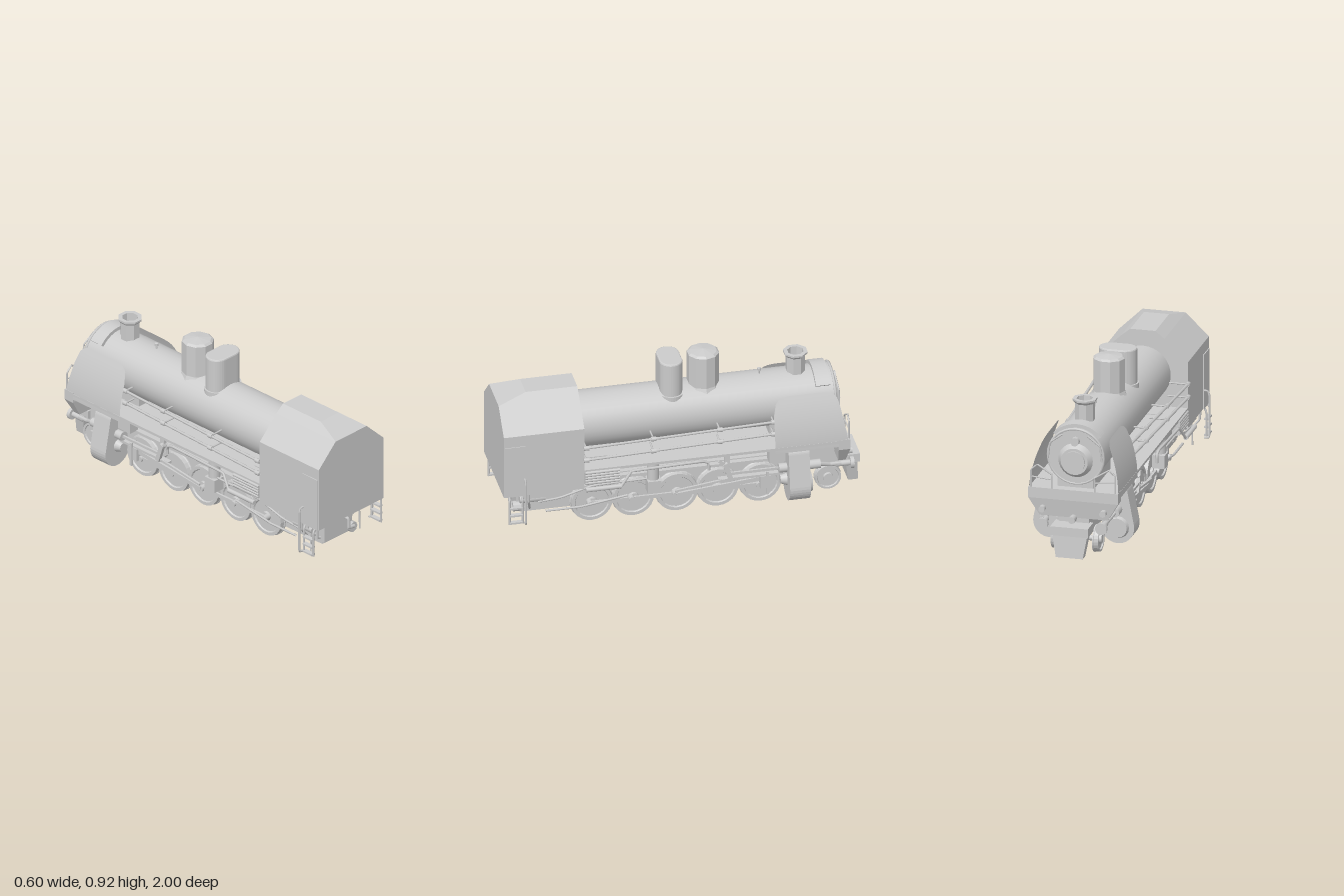
import * as THREE from 'three';
import { ConvexGeometry } from 'three/addons/geometries/ConvexGeometry.js';

const V = (x, y, z) => new THREE.Vector3(x, y, z);
const flat = new THREE.MeshStandardMaterial({ color: 0xcccccc, flatShading: true, side: THREE.DoubleSide });
const smooth = new THREE.MeshStandardMaterial({ color: 0xcccccc, side: THREE.DoubleSide });

export function createModel() {
  const model = new THREE.Group();
  const add = (name, geo, mat = flat, parent = model) => {
    const m = new THREE.Mesh(geo, mat);
    m.name = name;
    parent.add(m);
    return m;
  };
  // Box given by its limits on each axis
  const box = (name, x0, x1, y0, y1, z0, z1) =>
    add(name, new THREE.BoxGeometry(x1 - x0, y1 - y0, z1 - z0).translate((x0 + x1) / 2, (y0 + y1) / 2, (z0 + z1) / 2));
  const cylZ = (name, r0, r1, x, y, z0, z1, n = 16, mat = smooth) =>
    add(name, new THREE.CylinderGeometry(r1, r0, z1 - z0, n).rotateX(Math.PI / 2).translate(x, y, (z0 + z1) / 2), mat);
  const cylX = (name, r, x0, x1, y, z, n = 16) =>
    add(name, new THREE.CylinderGeometry(r, r, Math.abs(x1 - x0), n).rotateZ(Math.PI / 2).translate((x0 + x1) / 2, y, z), smooth);
  // Pipe through corner points
  const pipe = (name, r, pts) => {
    const path = new THREE.CurvePath();
    pts.slice(1).forEach((p, i) => path.add(new THREE.LineCurve3(V(...pts[i]), V(...p))));
    return add(name, new THREE.TubeGeometry(path, (pts.length - 1) * 6, r, 6), smooth);
  };
  // Flat bar in the side plane between two (z, y) points
  const bar = (name, x, z0, y0, z1, y1, h = 0.022, w = 0.012) => {
    const len = Math.hypot(z1 - z0, y1 - y0);
    const m = add(name, new THREE.BoxGeometry(w, h, len));
    m.position.set(x, (y0 + y1) / 2, (z0 + z1) / 2);
    m.rotation.x = -Math.atan2(y1 - y0, z1 - z0);
  };
  const hull = (name, pts) => {
    const all = [];
    for (const [x, y, z] of pts) all.push(V(x, y, z), V(-x, y, z));
    return add(name, new ConvexGeometry(all));
  };

  // Cab with sloped roof
  hull('cab', [
    [0.25, 0.28, 1], [0.25, 0.655, 1], [0.12, 0.78, 1],
    [0.25, 0.28, 0.555], [0.25, 0.655, 0.555], [0.12, 0.78, 0.555],
    [0.07, 0.82, 0.555], [0.07, 0.82, 0.84], [0.12, 0.78, 0.89],
  ]);

  // Boiler and smokebox front
  const boilerY = 0.575, boilerR = 0.155;
  cylZ('boiler', boilerR, boilerR, 0, boilerY, -0.86, 0.57, 32);
  cylZ('smokeboxDoor', 0.075, 0.1, 0, 0.555, -0.89, -0.855, 24);
  cylZ('doorPlate', 0.06, 0.06, 0, 0.555, -0.9, -0.885, 24);
  cylZ('headlamp', 0.024, 0.024, 0, 0.665, -0.885, -0.85, 12);
  const ring = add('smokeboxRim', new THREE.TorusGeometry(boilerR, 0.008, 6, 32), smooth);
  ring.position.set(0, boilerY, -0.855);
  box('smokeboxSaddle', -0.1, 0.1, 0.25, 0.47, -0.86, -0.5);
  box('fireboxBase', -0.13, 0.13, 0.25, 0.4, 0.4, 0.72);

  // Saddle heater over the smokebox
  const arc = new THREE.Shape();
  arc.absarc(0, 0, 0.175, 0.7, Math.PI - 0.7, false);
  arc.absarc(0, 0, 0.14, Math.PI - 0.7, 0.7, true);
  add('heater', new THREE.ExtrudeGeometry(arc, { depth: 0.08, bevelEnabled: false, curveSegments: 16 })
    .translate(0, boilerY, -0.83));

  // Chimney and domes
  const lathe = (name, pts, y, z, n = 8) => {
    const m = add(name, new THREE.LatheGeometry(pts.map(p => new THREE.Vector2(...p)), n));
    m.position.set(0, y, z);
    m.rotation.y = Math.PI / n;
    return m;
  };
  lathe('chimney', [[0.068, 0], [0.054, 0.025], [0.054, 0.125], [0.068, 0.14], [0.068, 0.15], [0.045, 0.15], [0.04, 0.06], [0, 0.06]], 0.695, -0.665);
  lathe('roundDome', [[0.1, 0], [0.088, 0.03], [0.088, 0.215], [0.075, 0.225], [0, 0.235]], 0.69, -0.155, 10);
  const oval = (a, r) => {
    const s = new THREE.Shape();
    s.absarc(a, 0, r, -Math.PI / 2, Math.PI / 2, false);
    s.absarc(-a, 0, r, Math.PI / 2, Math.PI * 1.5, false);
    return s;
  };
  add('longDome', new THREE.ExtrudeGeometry(oval(0.042, 0.055), { depth: 0.23, bevelSize: 0.008, bevelThickness: 0.008, bevelSegments: 2, curveSegments: 8 })
    .rotateX(-Math.PI / 2).translate(0, 0.665, 0.032));
  add('domeBase', new THREE.ExtrudeGeometry(oval(0.045, 0.07), { depth: 0.03, bevelEnabled: false, curveSegments: 8 })
    .rotateX(-Math.PI / 2).translate(0, 0.675, 0.032));
  lathe('whistle', [[0.006, 0], [0.006, 0.025], [0.011, 0.028], [0.011, 0.042], [0, 0.045]], 0.72, -0.465);

  // Running boards, frame and front deck
  box('runningBoard', -0.25, 0.25, 0.38, 0.395, -0.9, 0.57);
  box('frame', -0.1, 0.1, 0.09, 0.27, -0.5, 0.88);
  box('frontFrame', -0.085, 0.085, 0.14, 0.3, -0.9, -0.5);
  box('rearBeam', -0.105, 0.105, 0.105, 0.27, 0.8, 0.9);
  hull('frontApron', [
    [0.25, 0.4, -0.915], [0.25, 0.34, -0.915], [0.19, 0.24, -0.9],
    [0.25, 0.4, -0.85], [0.25, 0.34, -0.85], [0.19, 0.24, -0.86],
  ]);
  box('frontStep', -0.105, 0.105, 0.165, 0.215, -1, -0.88);
  hull('pilot', [[0.1, 0.18, -0.985], [0.1, 0.18, -0.92], [0.075, 0.04, -0.995], [0.075, 0.04, -0.94]]);
  cylZ('frontCoupler', 0.02, 0.02, 0, 0.24, -0.95, -0.88, 8);

  // Wheel facing +x: tyre, flange, recessed face and hub
  const wheel = (name, r, s, z, y) => {
    const p = [[0, 0.034], [0.026, 0.034], [0.028, 0.02], [r * 0.76, 0.02], [r * 0.8, 0.028], [r * 0.95, 0.028],
      [r * 0.96, 0.004], [r, 0], [r, -0.006], [0, -0.006]];
    const m = add(name, new THREE.LatheGeometry(p.map(q => new THREE.Vector2(...q)), 24).rotateZ(-Math.PI / 2));
    m.position.set(s * 0.105, y, z);
    m.rotation.y = s > 0 ? 0 : Math.PI;
  };
  const axles = [0.487, 0.257, 0.016, -0.209, -0.444];
  for (const z of axles) cylX('axle', 0.02, -0.11, 0.11, 0.12, z);
  cylX('leadingAxle', 0.015, -0.11, 0.11, 0.105, -0.818);

  for (const s of [1, -1]) {
    for (const z of axles) {
      wheel('drivingWheel', 0.119, s, z, 0.12);
      cylX('crankPin', 0.017, s * 0.12, s * 0.17, 0.125, z + 0.015);
    }
    wheel('leadingWheel', 0.075, s, -0.818, 0.105);

    // Rods and valve gear
    bar('couplingRod', s * 0.152, 0.5, 0.125, -0.43, 0.125);
    bar('mainRod', s * 0.168, 0.03, 0.125, -0.44, 0.17, 0.024);
    bar('slideBar', s * 0.17, -0.2, 0.195, -0.58, 0.195, 0.014, 0.03);
    bar('crosshead', s * 0.17, -0.43, 0.155, -0.49, 0.155, 0.075, 0.04);
    bar('combinationLever', s * 0.19, -0.47, 0.08, -0.47, 0.22, 0.014);
    bar('valveRod', s * 0.19, -0.25, 0.235, -0.58, 0.235, 0.014);
    bar('expansionLink', s * 0.19, -0.235, 0.3, -0.27, 0.19, 0.026, 0.02);
    bar('liftingArm', s * 0.19, -0.2, 0.32, -0.26, 0.27, 0.014);
    bar('linkHanger', s * 0.17, -0.25, 0.385, -0.25, 0.27, 0.03, 0.02);
    bar('eccentricRod', s * 0.185, 0.04, 0.16, -0.26, 0.2, 0.012);
    bar('gearFrame', s * 0.13, 0.5, 0.265, -0.58, 0.265, 0.016, 0.03);
    box('gearBracket', s * 0.16 - 0.03, s * 0.16 + 0.03, 0.27, 0.36, -0.57, -0.48);

    // Cylinder block, round below and narrow at the top
    const egg = new THREE.Shape();
    egg.absarc(0.19, 0.132, 0.092, Math.PI - 0.2, Math.PI * 2 + 0.2, false);
    egg.absarc(0.195, 0.325, 0.05, 0.2, Math.PI - 0.2, false);
    const block = add('cylinderBlock', new THREE.ExtrudeGeometry(egg, { depth: 0.115, bevelEnabled: false, curveSegments: 10 }).translate(0, 0, -0.69));
    block.scale.x = s;
    cylZ('cylinderCover', 0.055, 0.065, s * 0.19, 0.132, -0.71, -0.685);
    cylZ('pistonGland', 0.04, 0.025, s * 0.18, 0.16, -0.58, -0.54);
    cylZ('valveChest', 0.026, 0.026, s * 0.19, 0.235, -0.76, -0.53, 12);
    pipe('steamPipe', 0.012, [[s * 0.19, 0.235, -0.75], [s * 0.17, 0.21, -0.82], [s * 0.17, 0.21, -0.88]]);

    // Front buffers and lamps
    cylZ('bufferStem', 0.016, 0.016, s * 0.165, 0.205, -0.93, -0.85, 10);
    cylZ('buffer', 0.033, 0.033, s * 0.165, 0.205, -0.95, -0.93, 14);
    cylZ('frontLamp', 0.018, 0.018, s * 0.17, 0.285, -0.94, -0.9, 10);

    // Smoke deflector curling inward at the top
    const plate = new THREE.PlaneGeometry(1, 1, 24, 10);
    const pos = plate.attributes.position;
    for (let i = 0; i < pos.count; i++) {
      const u = pos.getX(i) + 0.5, v = pos.getY(i) + 0.5;
      const top = 0.31 * (0.7 + 0.3 * Math.sqrt(Math.max(0, 1 - Math.abs(2 * u - 1) ** 6)));
      const y = 0.36 + v * top;
      pos.setXYZ(i, s * (0.25 - 0.075 * ((y - 0.36) / 0.31) ** 2), y, -0.5 - u * (0.41 - 0.04 * v));
    }
    plate.computeVertexNormals();
    add('smokeDeflector', plate, smooth);

    // Side rails with clamps, tapering toward the nose
    for (const y of [0.535, 0.46]) {
      const railX = z => s * (0.228 + 0.047 * z);
      pipe('sideRail', 0.008, [[railX(0.56), y, 0.56], [railX(-0.52), y, -0.52]]);
      for (const z of [0.545, 0.17, -0.2, -0.5]) {
        cylZ('railClamp', 0.013, 0.013, railX(z), y, z - 0.014, z + 0.014, 8);
        pipe('railBracket', 0.005, [[railX(z), y, z], [s * 0.14, y, z]]);
      }
    }
    // Handrails on the nose
    pipe('noseRail', 0.005, [[s * 0.235, 0.4, -0.91], [s * 0.235, 0.5, -0.91], [s * 0.2, 0.53, -0.91], [s * 0.12, 0.48, -0.91], [s * 0.12, 0.4, -0.91]]);
    pipe('noseRailBar', 0.004, [[s * 0.235, 0.46, -0.91], [s * 0.12, 0.45, -0.91]]);
    pipe('smokeboxRail', 0.005, [[s * 0.07, 0.7, -0.87], [s * 0.14, 0.65, -0.875], [s * 0.15, 0.56, -0.875]]);

    // Cooler under the running board, pump and pipework
    for (let i = 0; i < 5; i++) cylZ('coolerTube', 0.009, 0.009, s * 0.25, 0.312 + i * 0.016, 0.36, 0.55, 8);
    box('coolerBack', s * 0.23 - 0.015, s * 0.23 + 0.015, 0.3, 0.385, 0.36, 0.55);
    cylZ('feedPipe', 0.013, 0.013, s * 0.29, 0.295, 0.36, 0.555, 10);
    pipe('feedBend', 0.008, [[s * 0.29, 0.295, 0.36], [s * 0.27, 0.37, 0.3], [s * 0.26, 0.375, -0.1], [s * 0.26, 0.36, -0.13], [s * 0.26, 0.315, -0.13]]);
    add('pump', new THREE.CylinderGeometry(0.033, 0.033, 0.11, 12).translate(s * 0.2, 0.325, 0.165), smooth);
    box('pumpBase', s * 0.2 - 0.035, s * 0.2 + 0.035, 0.19, 0.265, 0.125, 0.2);
    pipe('pumpPipe', 0.006, [[s * 0.21, 0.275, 0.2], [s * 0.21, 0.27, 0.5], [s * 0.2, 0.21, 0.68], [s * 0.2, 0.2, 0.8]]);
    pipe('brakePipe', 0.007, [[s * 0.24, 0.28, 0.86], [s * 0.235, 0.225, 0.86], [s * 0.17, 0.15, 0.84], [s * 0.11, 0.14, 0.84]]);
    pipe('lowerPipe', 0.007, [[s * 0.17, 0.12, 0.75], [s * 0.17, 0.12, 0.56], [s * 0.17, 0.16, 0.3]]);
    pipe('rearDownPipe', 0.007, [[s * 0.13, 0.28, 0.87], [s * 0.13, 0.13, 0.87], [s * 0.1, 0.13, 0.87]]);

    // Rear buffers and hoses
    cylZ('rearBuffer', 0.022, 0.022, s * 0.185, 0.22, 0.76, 0.9, 10);
    pipe('rearHose', 0.005, [[s * 0.185, 0.22, 0.88], [s * 0.19, 0.07, 0.88]]);
    box('rearBracket', s * 0.16 - 0.05, s * 0.16 + 0.05, 0.23, 0.28, 0.66, 0.88);

    // Door panel, grab rail and ladder
    box('cabDoor', s * 0.252 - 0.003, s * 0.252 + 0.003, 0.28, 0.59, 0.88, 0.995);
    pipe('grabRail', 0.006, [[s * 0.25, 0.385, 0.885], [s * 0.275, 0.385, 0.885], [s * 0.283, 0.36, 0.885], [s * 0.283, 0.12, 0.885], [s * 0.255, 0.115, 0.885]]);
    for (const z of [0.9, 0.97]) pipe('ladderSide', 0.006, [[s * 0.245, 0.29, z], [s * 0.262, 0.26, z], [s * 0.262, 0.115, z]]);
    for (const y of [0.125, 0.17, 0.215]) box('ladderStep', s * 0.262 - 0.012, s * 0.262 + 0.012, y - 0.005, y + 0.005, 0.9, 0.97);
  }

  // Rear coupler and brake hose
  cylZ('rearCoupler', 0.03, 0.03, 0.1, 0.13, 0.86, 0.92, 8);
  pipe('brakeHose', 0.01, [[0.058, 0.2, 0.9], [0.058, 0.2, 0.925], [0.058, 0.145, 0.925], [0.1, 0.14, 0.925]]);
  return model;
}
